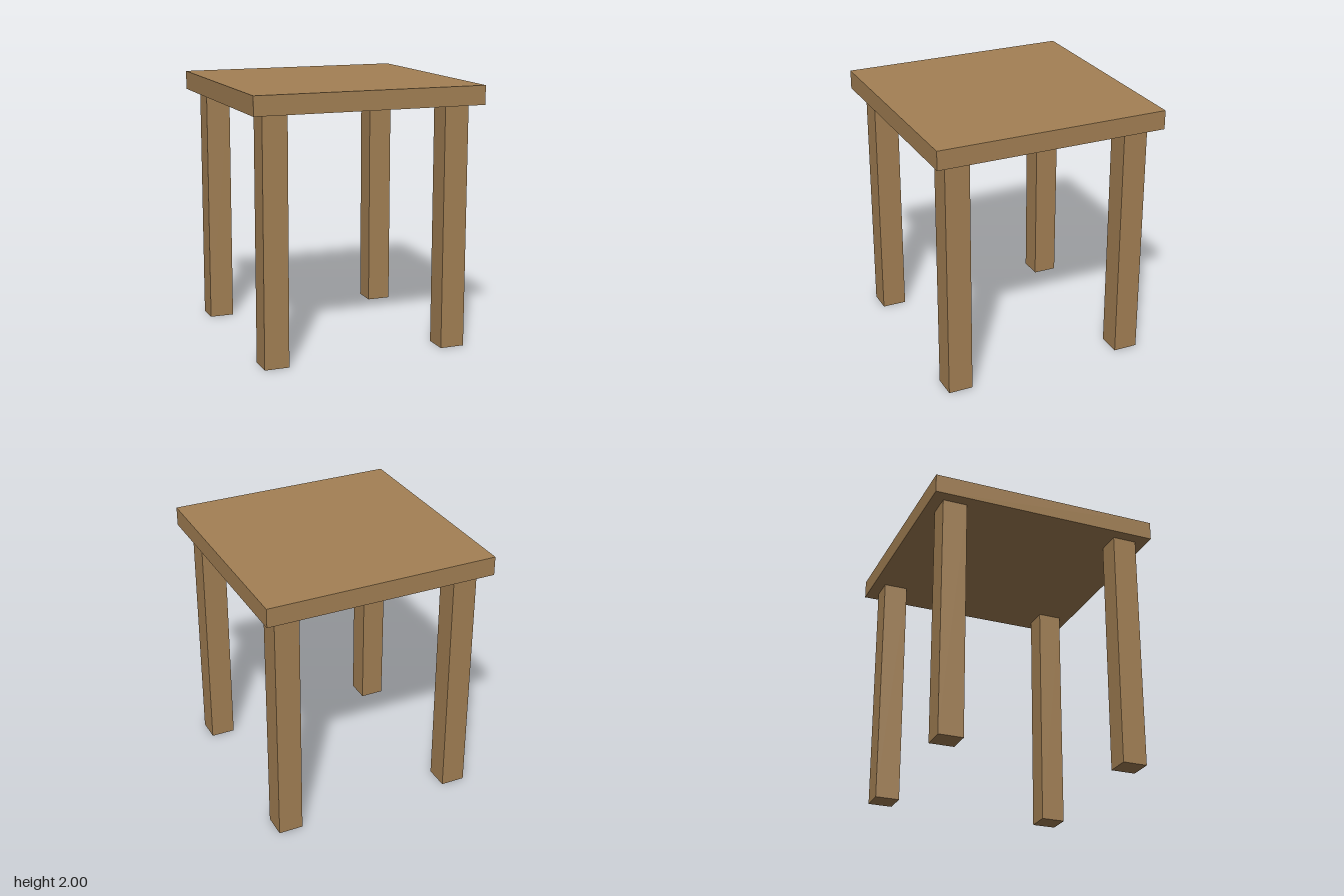
import * as THREE from 'three';

const HEIGHT = 2;
const TOP_WIDTH = 1.776;
const TOP_THICKNESS = 0.144;
const LEG_WIDTH = 0.188;
const LEG_OFFSET = 0.704;

export function createModel() {
  const model = new THREE.Group();
  model.name = 'table';
  const wood = new THREE.MeshStandardMaterial({ color: 0xa38054 });

  // Square slab top
  const top = new THREE.Mesh(new THREE.BoxGeometry(TOP_WIDTH, TOP_THICKNESS, TOP_WIDTH), wood);
  top.name = 'tableTop';
  top.position.y = HEIGHT - TOP_THICKNESS / 2;
  model.add(top);

  // Four square legs, set in from the corners
  const legHeight = HEIGHT - TOP_THICKNESS;
  const legGeometry = new THREE.BoxGeometry(LEG_WIDTH, legHeight, LEG_WIDTH);
  for (const [zName, z] of [['front', 1], ['back', -1]]) {
    for (const [xName, x] of [['Left', 1], ['Right', -1]]) {
      const leg = new THREE.Mesh(legGeometry, wood);
      leg.name = `${zName}${xName}Leg`;
      leg.position.set(x * LEG_OFFSET, legHeight / 2, z * LEG_OFFSET);
      model.add(leg);
    }
  }

  return model;
}
